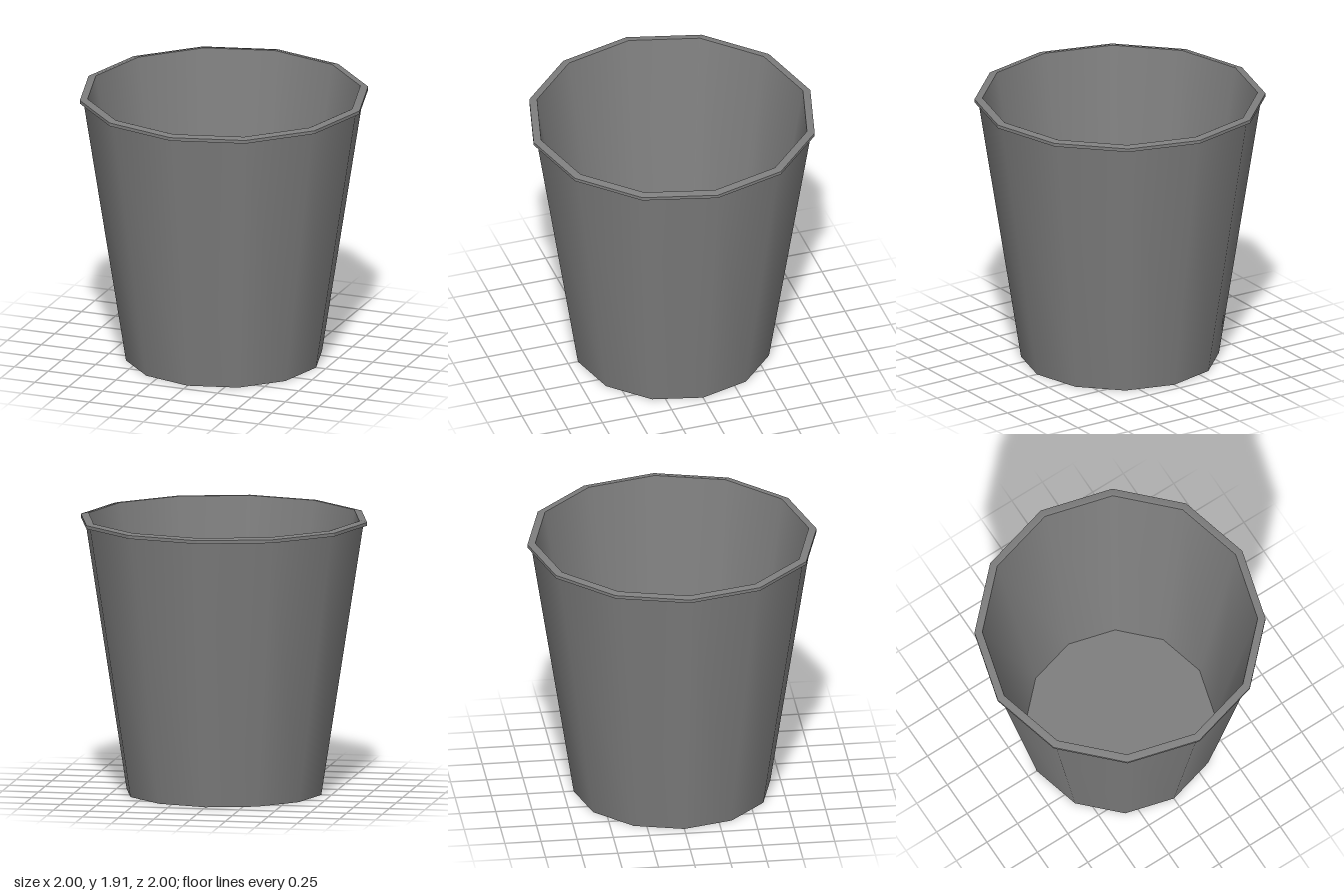
import * as THREE from 'three';

const SIDES = 12;
const smooth = new THREE.MeshStandardMaterial({ color: 0x7f7f7f });
const faceted = new THREE.MeshStandardMaterial({ color: 0x7f7f7f, flatShading: true });

// Revolve a profile of [radius, height] points; upward profiles face outwards
function turned(name, profile, material) {
  const points = profile.map(([r, y]) => new THREE.Vector2(r, y));
  const mesh = new THREE.Mesh(new THREE.LatheGeometry(points, SIDES), material);
  mesh.name = name;
  return mesh;
}

export function createModel() {
  const bucket = new THREE.Group();
  bucket.name = 'bucket';

  bucket.add(
    // Underside and tapered outer wall
    turned('base', [[0, 0], [0.68, 0]], faceted),
    turned('outerWall', [[0.68, 0], [0.973, 1.88]], smooth),
    // Protruding collar and the gently sloping lip on top of it
    turned('collar', [[0.973, 1.88], [1, 1.88], [1, 1.903]], faceted),
    turned('lip', [[1, 1.903], [0.957, 1.914], [0.946, 1.911]], smooth),
    // Hollow inside
    turned('innerWall', [[0.946, 1.911], [0.65, 0.03]], smooth),
    turned('innerFloor', [[0.65, 0.03], [0, 0.03]], faceted),
  );
  return bucket;
}
